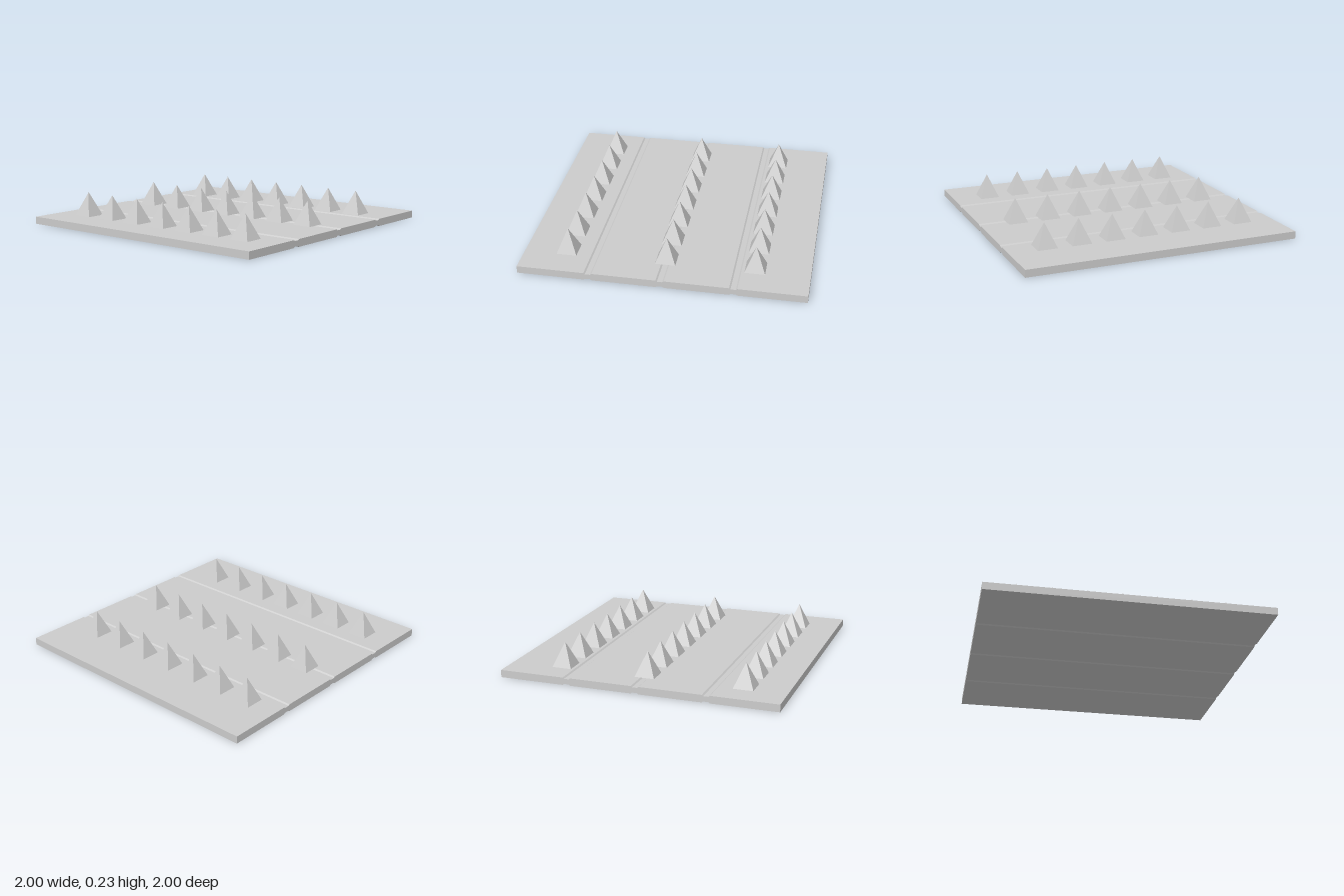
import * as THREE from 'three';

const TOP = 0.053;      // plate thickness
const GROOVE = 0.008;   // groove depth
const TIP = 0.225;      // spike tip height

export function createModel() {
  const model = new THREE.Group();
  model.name = 'spikedPlate';
  const grey = new THREE.MeshStandardMaterial({ color: 0xcccccc, flatShading: true });
  grey.name = 'plain grey';

  // Plate: side profile with three shallow grooves above and below
  const lower = [[-1, 0]];
  for (const c of [-0.5, 0, 0.5]) {
    lower.push([c - 0.028, 0], [c - 0.018, GROOVE], [c + 0.018, GROOVE], [c + 0.028, 0]);
  }
  lower.push([1, 0]);
  const upper = lower.map(([u, y]) => [u, TOP - y]).reverse();
  const profile = new THREE.Shape([...lower, ...upper].map(([u, y]) => new THREE.Vector2(u, y)));
  const plateGeometry = new THREE.ExtrudeGeometry(profile, { depth: 2, bevelEnabled: false });
  plateGeometry.translate(0, 0, -1).rotateY(Math.PI / 2);
  const plate = new THREE.Mesh(plateGeometry, grey);
  plate.name = 'groovedPlate';
  model.add(plate);

  // Spikes: three rows of seven square pyramids
  const height = TIP - TOP;
  const spikeGeometry = new THREE.ConeGeometry(0.071 * Math.SQRT2, height, 4);
  spikeGeometry.rotateY(Math.PI / 4).translate(0, TOP + height / 2, 0);
  for (const z of [-0.62, 0, 0.7]) {
    const row = new THREE.Group();
    row.name = 'spikeRow';
    for (let i = 0; i < 7; i++) {
      const spike = new THREE.Mesh(spikeGeometry, grey);
      spike.name = 'spike';
      spike.position.set(-0.752 + i * 0.2475, 0, z);
      row.add(spike);
    }
    model.add(row);
  }
  return model;
}
